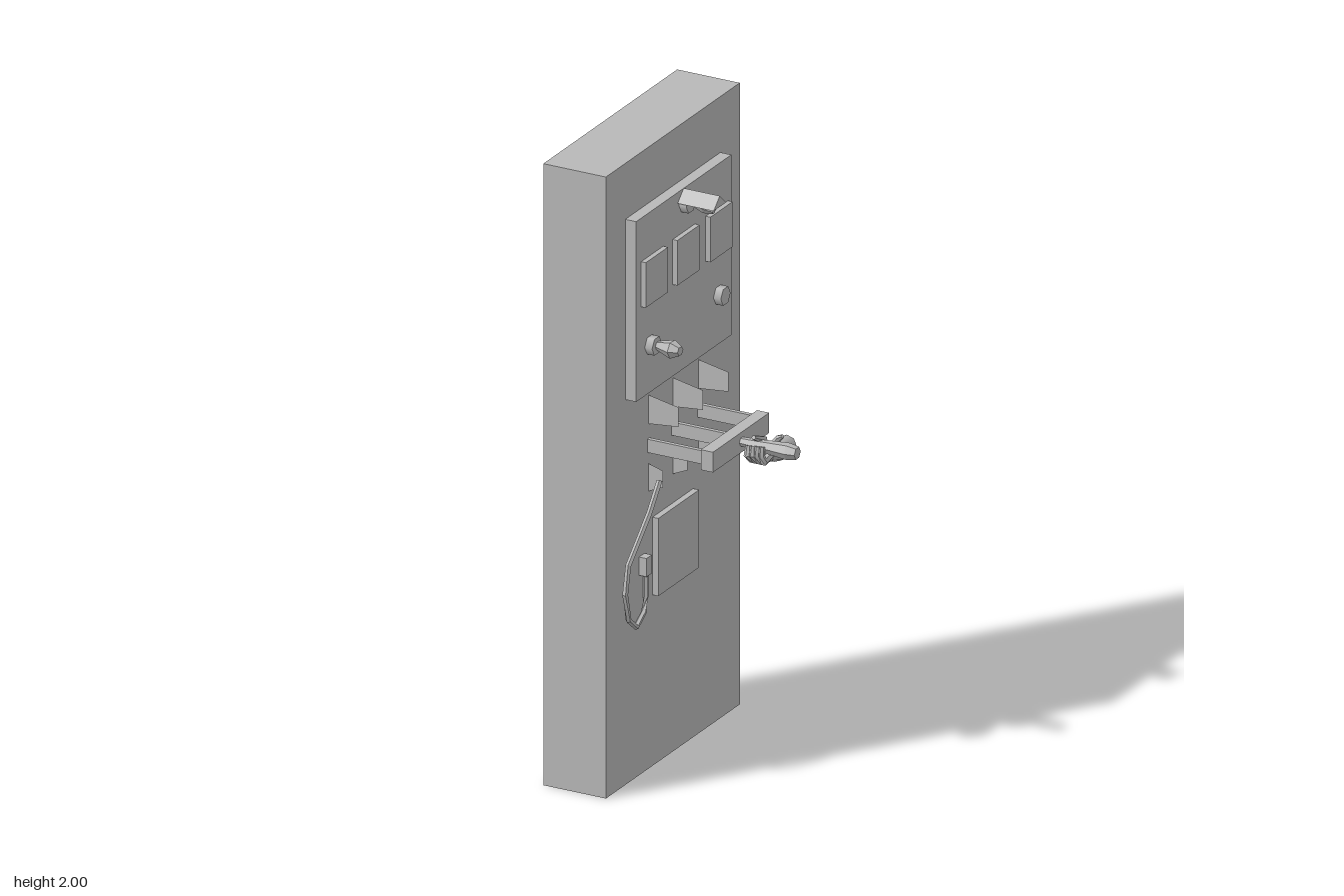
import * as THREE from 'three';
import { toCreasedNormals } from 'three/addons/utils/BufferGeometryUtils.js';

export function createModel() {
  const model = new THREE.Group();
  const grey = new THREE.MeshStandardMaterial({ color: 0xb8b8b8 });
  grey.name = 'plain grey';
  grey.side = THREE.DoubleSide;

  function add(name, geometry, parent = model) {
    const mesh = new THREE.Mesh(geometry, grey);
    mesh.name = name;
    parent.add(mesh);
    return mesh;
  }

  // Box given by its extents on each axis
  function box(name, [x0, x1], [y0, y1], [z0, z1], parent) {
    const mesh = add(name, new THREE.BoxGeometry(x1 - x0, y1 - y0, z1 - z0), parent);
    mesh.position.set((x0 + x1) / 2, (y0 + y1) / 2, (z0 + z1) / 2);
    return mesh;
  }

  // Closed tapering limb through rings of [x, y, z, radius]
  function limb(name, rings, sides, crease, parent) {
    const centres = rings.map(r => new THREE.Vector3(r[0], r[1], r[2]));
    const pos = [], index = [], n = rings.length;
    centres.forEach((c, k) => {
      const t = centres[Math.min(k + 1, n - 1)].clone().sub(centres[Math.max(k - 1, 0)]).normalize();
      const up = Math.abs(t.y) > 0.85 ? new THREE.Vector3(1, 0, 0) : new THREE.Vector3(0, 1, 0);
      const u = up.cross(t).normalize(), v = t.clone().cross(u);
      for (let j = 0; j < sides; j++) {
        const a = (j / sides) * Math.PI * 2;
        const p = c.clone().addScaledVector(u, Math.cos(a) * rings[k][3]).addScaledVector(v, Math.sin(a) * rings[k][3]);
        pos.push(p.x, p.y, p.z);
      }
    });
    for (let k = 0; k < n - 1; k++) {
      for (let j = 0; j < sides; j++) {
        const a = k * sides + j, b = k * sides + (j + 1) % sides;
        index.push(a, b, b + sides, a, b + sides, a + sides);
      }
    }
    const last = (n - 1) * sides;
    for (let j = 1; j < sides - 1; j++) {
      index.push(0, j + 1, j, last, last + j, last + j + 1);
    }
    const g = new THREE.BufferGeometry();
    g.setAttribute('position', new THREE.Float32BufferAttribute(pos, 3));
    g.setIndex(index);
    return add(name, toCreasedNormals(g, crease), parent);
  }

  // Cabinet and raised panels
  box('cabinet', [-0.317, -0.105], [0, 2], [-0.411, 0.411]);
  box('upperPanel', [-0.105, -0.068], [1.24, 1.82], [-0.292, 0.292]);
  box('lowerPanel', [-0.105, -0.085], [0.55, 0.8], [-0.125, 0.125]);
  for (const z of [-0.203, 0, 0.194]) {
    box('screen', [-0.068, -0.052], [1.535, 1.68], [z - 0.068, z + 0.068]);
  }

  // Six-sided sockets on the upper panel
  for (const [y, z] of [[1.4, -0.212], [1.395, 0.21], [1.775, 0]]) {
    const socket = add('socket', new THREE.CylinderGeometry(0.03, 0.03, 0.025, 6));
    socket.rotation.z = Math.PI / 2;
    socket.position.set(-0.0555, y, z);
  }
  limb('switchKnob', [[-0.05, 1.395, 0.205, 0.012], [0.01, 1.395, 0.21, 0.029], [0.038, 1.395, 0.213, 0.015]], 6, 0.2);
  limb('lampBulb', [[-0.05, 1.785, 0, 0.01], [0.005, 1.775, 0, 0.02], [0.035, 1.768, 0, 0.011]], 6, 0.2);

  // Ridged hood over the lamp
  const roof = new THREE.Shape([[-0.038, 1.785], [0.038, 1.785], [0, 1.82]].map(p => new THREE.Vector2(...p)));
  const hood = add('lampHood', new THREE.ExtrudeGeometry(roof, { depth: 0.122, bevelEnabled: false }));
  hood.rotation.y = Math.PI / 2;
  hood.position.x = -0.068;

  // Flat guide fins above and below each rail, joined by a crossbar
  function fin(name, corners, z) {
    const shape = new THREE.Shape(corners.map(p => new THREE.Vector2(...p)));
    add(name, new THREE.ShapeGeometry(shape)).position.z = z;
  }
  for (const z of [-0.158, 0, 0.15]) {
    fin('upperFin', [[-0.105, 1.11], [-0.003, 1.12], [-0.003, 1.183], [-0.105, 1.203]], z);
    fin('lowerFin', [[-0.105, 0.893], [-0.055, 0.915], [-0.055, 0.968], [-0.105, 0.982]], z);
    box('rail', [-0.105, 0.09], [1.02, 1.063], [z - 0.007, z + 0.007]);
  }
  box('crossbar', [0.087, 0.128], [1.01, 1.075], [-0.169, 0.176]);

  // Hanging cord and its plug
  const cord = [
    [-0.06, 0.94, 0.163], [-0.058, 0.86, 0.23], [-0.057, 0.74, 0.36], [-0.056, 0.655, 0.382],
    [-0.062, 0.56, 0.35], [-0.075, 0.51, 0.28], [-0.086, 0.532, 0.212], [-0.09, 0.575, 0.193], [-0.092, 0.65, 0.19],
  ].map(p => [...p, 0.009]);
  limb('cord', cord, 5, 0.2);
  box('plug', [-0.105, -0.08], [0.643, 0.702], [0.174, 0.207]);

  // Pull lever that widens to a blunt tip
  limb('lever', [
    [0.125, 1.045, 0, 0.014], [0.2, 1.045, 0, 0.019], [0.285, 1.045, 0, 0.026], [0.317, 1.045, 0, 0.02],
  ], 6, 0.2);

  // Severed forearm with a hand closed around the lever
  const arm = new THREE.Group();
  arm.name = 'severedArm';
  model.add(arm);
  limb('forearm', [
    [0.157, 0.958, -0.222, 0.031], [0.172, 0.967, -0.17, 0.034], [0.183, 0.98, -0.11, 0.028],
    [0.19, 0.995, -0.06, 0.021], [0.195, 1.01, -0.03, 0.03], [0.198, 1.02, -0.005, 0.026],
  ], 8, 0.9, arm);
  limb('bone', [[0.15, 0.96, -0.215, 0.01], [0.143, 0.953, -0.245, 0.008]], 5, 0.2, arm);
  limb('fleshFlap', [[0.18, 0.96, -0.2, 0.016], [0.185, 0.955, -0.215, 0.004]], 5, 0.2, arm);
  for (let i = 0; i < 4; i++) {
    const x = 0.172 + i * 0.014;
    limb('finger', [
      [x, 1.01, -0.015, 0.013], [x + 0.002, 1.005, 0.022, 0.012],
      [x - 0.002, 1.025, 0.042 - i * 0.004, 0.011], [x - 0.004, 1.052, 0.032 - i * 0.003, 0.008],
    ], 6, 0.9, arm);
  }
  limb('thumb', [
    [0.2, 1.015, -0.04, 0.015], [0.22, 1.045, -0.04, 0.012], [0.235, 1.065, -0.035, 0.01], [0.25, 1.075, -0.03, 0.006],
  ], 6, 0.9, arm);
  limb('thumbBase', [[0.185, 1.01, -0.045, 0.02], [0.185, 1.05, -0.03, 0.014], [0.185, 1.08, 0.03, 0.007]], 6, 0.9, arm);

  return model;
}
